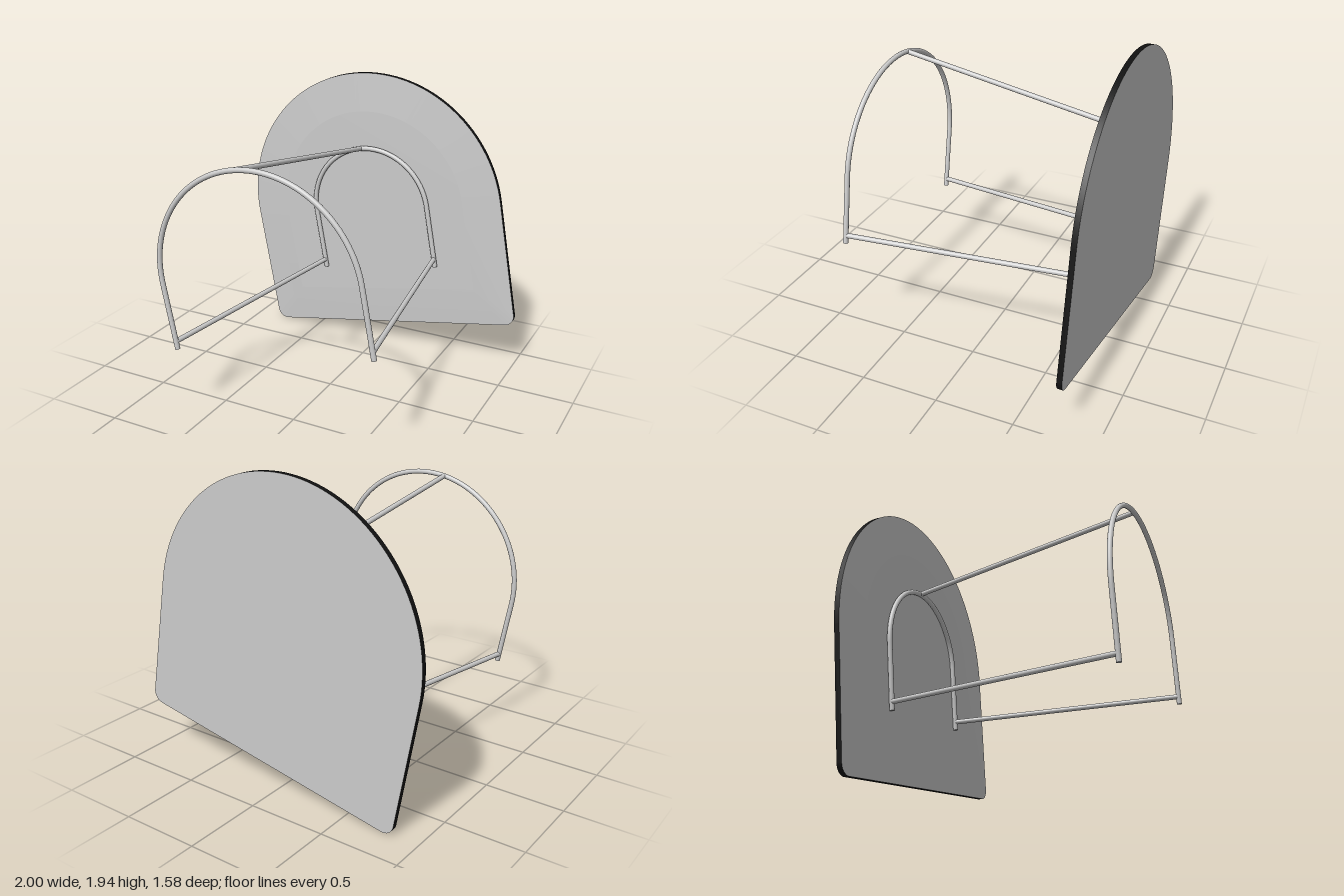
import * as THREE from 'three';
import { toCreasedNormals } from 'three/addons/utils/BufferGeometryUtils.js';

const grey = new THREE.MeshStandardMaterial({ color: 0xcccccc });
const dark = new THREE.MeshStandardMaterial({ color: 0x111111 });
const TUBE = 0.016;

// Arched outline, counter-clockwise: half circle on top, rounded corners below
function archOutline(w, depth, r) {
  const pts = [];
  const arc = (cx, cy, rad, from, to, n) => {
    for (let i = 0; i <= n; i++) {
      const t = from + ((to - from) * i) / n;
      pts.push(new THREE.Vector2(cx + rad * Math.cos(t), cy + rad * Math.sin(t)));
    }
  };
  arc(0, 0, w, 0, Math.PI, 64);
  arc(-w + r, -depth + r, r, Math.PI, Math.PI * 1.5, 8);
  arc(w - r, -depth + r, r, Math.PI * 1.5, Math.PI * 2, 8);
  return pts;
}

// Strip of faces joining two outlines at different z
function band(a, za, b, zb) {
  const pos = [];
  for (let i = 0; i < a.length; i++) {
    const j = (i + 1) % a.length;
    const ai = [a[i].x, a[i].y, za], aj = [a[j].x, a[j].y, za];
    const bi = [b[i].x, b[i].y, zb], bj = [b[j].x, b[j].y, zb];
    pos.push(...ai, ...aj, ...bj, ...ai, ...bj, ...bi);
  }
  const g = new THREE.BufferGeometry();
  g.setAttribute('position', new THREE.Float32BufferAttribute(pos, 3));
  return toCreasedNormals(g, 0.3);
}

function add(parent, name, geometry, material = grey) {
  const mesh = new THREE.Mesh(geometry, material);
  mesh.name = name;
  parent.add(mesh);
  return mesh;
}

// Straight round bar between two points
function bar(parent, name, a, b) {
  const dir = b.clone().sub(a);
  const mesh = add(parent, name, new THREE.CylinderGeometry(TUBE, TUBE, dir.length(), 20));
  mesh.position.copy(a).add(b).multiplyScalar(0.5);
  mesh.quaternion.setFromUnitVectors(new THREE.Vector3(0, 1, 0), dir.normalize());
}

// Arched tube with two straight legs
function hoop(parent, name, radius, z, foot) {
  const g = new THREE.Group();
  g.name = name;
  const arch = add(g, name + 'Arch', new THREE.TorusGeometry(radius, TUBE, 20, 64, Math.PI));
  arch.position.z = z;
  for (const s of [-1, 1]) {
    bar(g, name + (s > 0 ? 'LeftLeg' : 'RightLeg'),
      new THREE.Vector3(s * radius, 0, z), new THREE.Vector3(s * radius, foot, z));
  }
  parent.add(g);
}

export function createModel() {
  const model = new THREE.Group();
  const frame = new THREE.Group();
  frame.name = 'tiltedAssembly';
  frame.rotation.z = THREE.MathUtils.degToRad(10.6);
  frame.position.set(-0.067, 1.007, 0);
  model.add(frame);

  // Backboard: flat back, dark rim, shallow bevel up to a raised front panel
  const board = new THREE.Group();
  board.name = 'backboard';
  const outer = archOutline(0.933, 0.862, 0.07);
  const inner = archOutline(0.676, 0.603, 0.002);
  const backZ = -0.79, rimZ = -0.757, faceZ = -0.743;
  const back = add(board, 'boardBack', new THREE.ShapeGeometry(new THREE.Shape(outer)));
  back.rotation.y = Math.PI;
  back.position.z = backZ;
  add(board, 'boardRim', band(outer, backZ, outer, rimZ), dark);
  add(board, 'boardBevel', band(outer, rimZ, inner, faceZ));
  add(board, 'boardFace', new THREE.ShapeGeometry(new THREE.Shape(inner))).position.z = faceZ;
  frame.add(board);

  // Small hoop at the board, large hoop at the front
  const rBack = 0.425, zBack = -0.726, rFront = 0.671, zFront = 0.774;
  hoop(frame, 'backHoop', rBack, zBack, -0.43);
  hoop(frame, 'frontHoop', rFront, zFront, -0.425);

  // Bars joining the hoops
  bar(frame, 'topBar', new THREE.Vector3(0, rFront, zFront), new THREE.Vector3(0, rBack, zBack));
  for (const s of [-1, 1]) {
    bar(frame, s > 0 ? 'leftBar' : 'rightBar',
      new THREE.Vector3(s * rFront, -0.375, zFront), new THREE.Vector3(s * rBack, -0.375, zBack));
  }
  return model;
}
